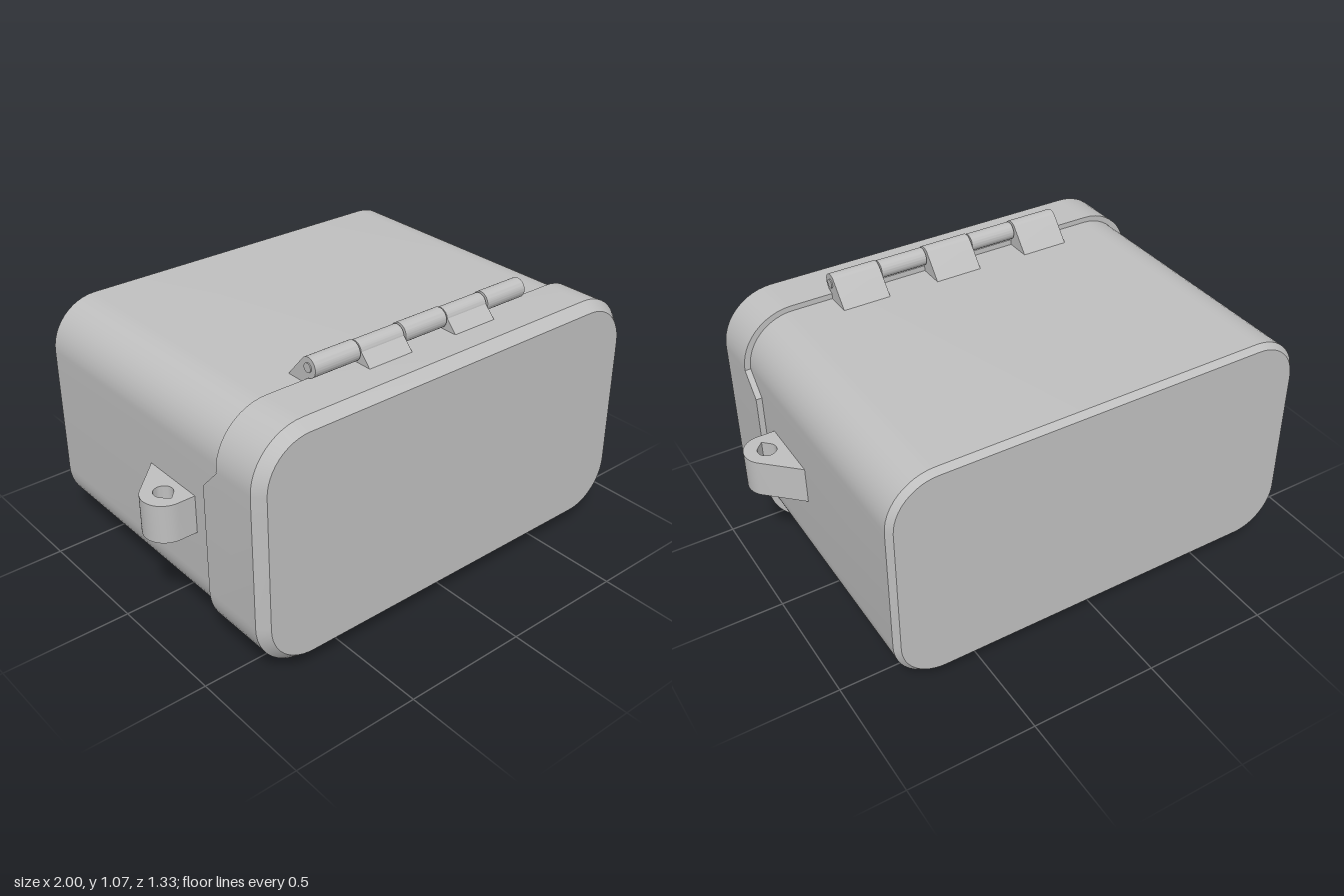
import * as THREE from 'three';
import { toCreasedNormals } from 'three/addons/utils/BufferGeometryUtils.js';

const grey = new THREE.MeshStandardMaterial({ color: 0xbfbfbf });
grey.name = 'grey';

// Rounded rectangle, counterclockwise from the front; each point is [x, y, lid edge z]
function outline(hx, y0, y1, r) {
  const pts = [];
  const arc = (cx, cy, a0, z) => {
    for (let i = 0; i <= 12; i++) {
      const a = a0 + (i / 12) * Math.PI / 2;
      pts.push([cx + r * Math.cos(a), cy + r * Math.sin(a), z]);
    }
  };
  const low = 0.36, high = 0.44, slot = 0.47;
  pts.push([-0.145, y0, low], [-0.145, y0, slot], [0.145, y0, slot], [0.145, y0, low]);
  arc(hx - r, y0 + r, -Math.PI / 2, low);
  pts.push([hx, 0.69, low], [hx, 0.775, high]);
  arc(hx - r, y1 - r, 0, high);
  arc(-hx + r, y1 - r, Math.PI / 2, high);
  pts.push([-hx, 0.775, high], [-hx, 0.69, low]);
  arc(-hx + r, y0 + r, Math.PI, low);
  return pts;
}

const atZ = (pts, z) => pts.map(([x, y]) => [x, y, z]);

// Skin a list of loops from front to back
function loft(loops, capBack) {
  const n = loops[0].length, index = [];
  for (let k = 0; k < loops.length - 1; k++) {
    for (let i = 0; i < n; i++) {
      const j = (i + 1) % n, a = k * n, b = a + n;
      index.push(a + i, b + i, b + j, a + i, b + j, a + j);
    }
  }
  const last = (loops.length - 1) * n;
  for (let i = 1; i < n - 1; i++) {
    index.push(0, i, i + 1);
    if (capBack) index.push(last, last + i + 1, last + i);
  }
  const g = new THREE.BufferGeometry();
  g.setAttribute('position', new THREE.Float32BufferAttribute(loops.flat(2), 3));
  g.setIndex(index);
  return toCreasedNormals(g, 0.5);
}

// Extrude a (z, y) profile along x, centred on x
function alongX(shape, x, width) {
  const g = new THREE.ExtrudeGeometry(shape, { depth: width, bevelEnabled: false, curveSegments: 24 });
  g.translate(0, 0, -width / 2);
  g.rotateY(-Math.PI / 2);
  // the turn sends profile x to +z
  g.translate(x, 0, 0);
  return toCreasedNormals(g, 0.5);
}

export function createModel() {
  const model = new THREE.Group();
  const add = (name, geometry) => {
    const mesh = new THREE.Mesh(geometry, grey);
    mesh.name = name;
    model.add(mesh);
    return mesh;
  };

  // Box body with a small chamfer at the back
  const bodyLine = outline(0.847, 0.07, 0.968, 0.19);
  add('body', loft([
    atZ(bodyLine, 0.55),
    atZ(bodyLine, -0.643),
    atZ(outline(0.827, 0.09, 0.948, 0.17), -0.665),
  ], true));

  // Lid with chamfered front, stepped edge and a notch for the latch
  const lidLine = outline(0.87, 0.048, 0.99, 0.21);
  add('lid', loft([
    atZ(outline(0.835, 0.083, 0.955, 0.175), 0.665),
    atZ(lidLine, 0.625),
    lidLine,
    outline(0.84, 0.077, 0.961, 0.185),
  ], false));

  // Hinge knuckles, alternating between body and lid
  const hz = 0.444, hy = 1.032, r = 0.038, d = r * Math.SQRT1_2;
  const bodyKnuckle = new THREE.Shape();
  bodyKnuckle.moveTo(0.438, 0.96);
  bodyKnuckle.lineTo(hz, hy - r);
  bodyKnuckle.absarc(hz, hy, r, -Math.PI / 2, Math.PI * 0.75, false);
  bodyKnuckle.lineTo(hz - d - 0.08, 0.966);
  bodyKnuckle.lineTo(hz - d - 0.08, 0.96);
  const lidKnuckle = new THREE.Shape();
  lidKnuckle.moveTo(0.445, 0.98);
  lidKnuckle.lineTo(0.522, 0.98);
  lidKnuckle.lineTo(0.522, 0.99);
  lidKnuckle.lineTo(hz + 0.035, hy + 0.004);
  lidKnuckle.absarc(hz, hy, 0.035, 0.1, Math.PI * 1.5, false);
  for (let i = -2; i <= 2; i++) {
    const onLid = Math.abs(i) === 1;
    add(onLid ? 'lidKnuckle' : 'bodyKnuckle', alongX(onLid ? lidKnuckle : bodyKnuckle, i * 0.1985, 0.192));
  }
  const pin = add('hingePin', new THREE.CylinderGeometry(0.018, 0.018, 0.995, 24));
  pin.rotation.z = Math.PI / 2;
  pin.position.set(0, hy, hz);

  // Side lugs with a teardrop hole
  for (const [name, s] of [['leftLug', 1], ['rightLug', -1]]) {
    const cx = 0.915, cz = 0.185, R = 0.085, hr = 0.036;
    const shape = new THREE.Shape(), hole = new THREE.Path();
    shape.moveTo(s * 0.82, 0.02);
    shape.lineTo(s * 0.847, 0);
    for (let i = 0; i <= 18; i++) {
      const a = Math.PI / 4 - (i / 18) * Math.PI * 0.75;
      shape.lineTo(s * (cx + R * Math.cos(a)), -cz + R * Math.sin(a));
    }
    shape.lineTo(s * 0.82, -cz - R);
    hole.moveTo(s * cx, -0.18 - hr * Math.SQRT2);
    for (let i = 0; i <= 24; i++) {
      const a = -Math.PI / 4 + (i / 24) * Math.PI * 1.5;
      hole.lineTo(s * (cx + hr * Math.cos(a)), -0.18 + hr * Math.sin(a));
    }
    shape.holes.push(hole);
    const g = new THREE.ExtrudeGeometry(shape, { depth: 0.15, bevelEnabled: false });
    g.rotateX(-Math.PI / 2);
    g.translate(0, 0.443, 0);
    add(name, toCreasedNormals(g, 0.5));
  }

  // Latch tongue under the body with a wedge-shaped catch
  const latch = new THREE.Shape();
  latch.moveTo(0.208, 0);
  latch.lineTo(0.24, 0);
  latch.lineTo(0.287, 0.048);
  latch.lineTo(0.5, 0.048);
  latch.lineTo(0.5, 0.061);
  latch.lineTo(0.208, 0.061);
  add('latch', alongX(latch, 0, 0.272));

  return model;
}
